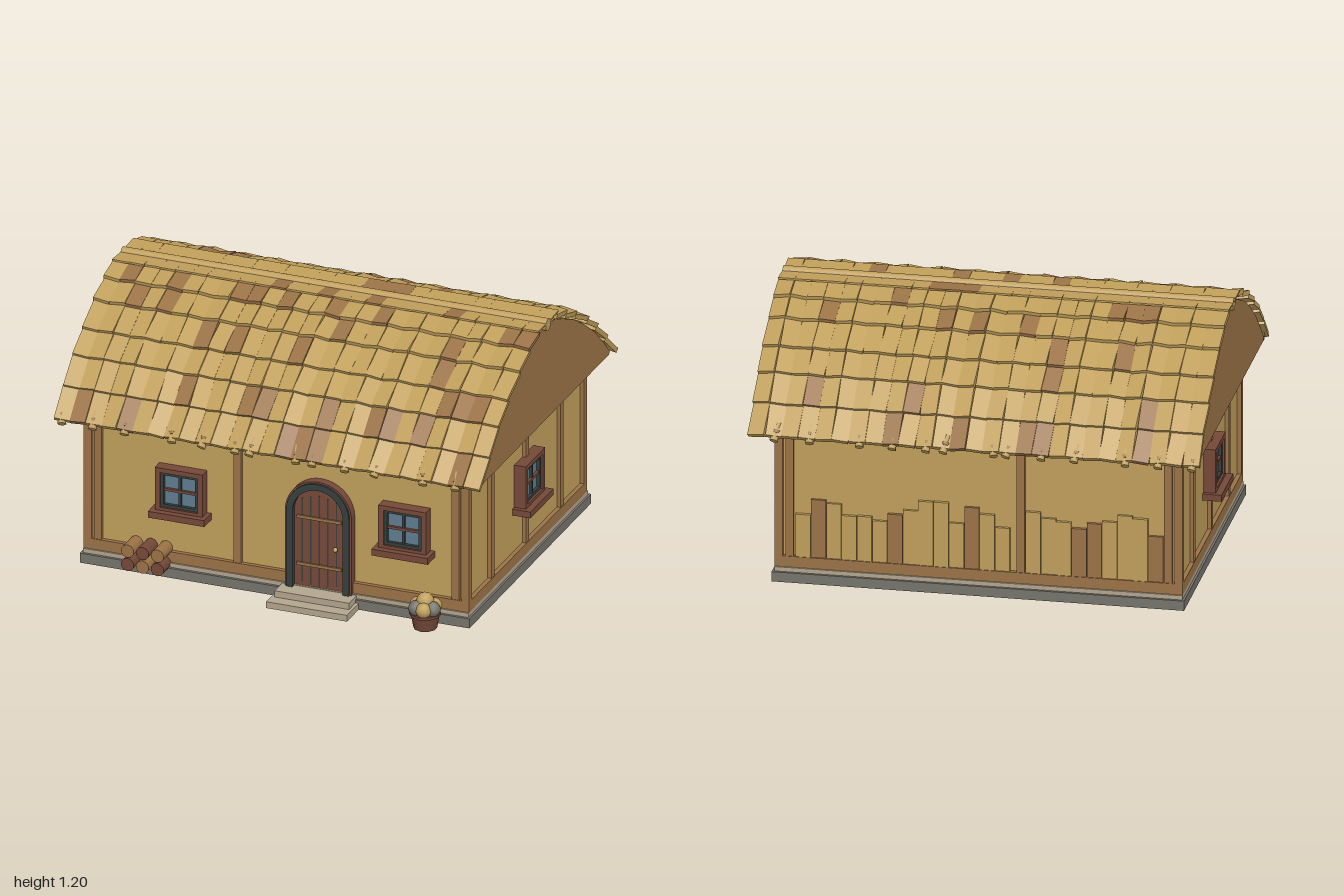
import * as THREE from 'three';
import { mergeGeometries } from 'three/addons/utils/BufferGeometryUtils.js';

const mat = (name, color) => Object.assign(new THREE.MeshStandardMaterial({ color }), { name });

export function createModel() {
  const straw = mat('straw', 0xbf9e5a), timber = mat('timber', 0x9a7246), redwood = mat('redwood', 0x744838);
  const iron = mat('darkFrame', 0x363e3e), glass = mat('glass', 0x5f7c8e), stone = mat('stone', 0x75736b);
  const step = mat('paleStone', 0xb3a58e);

  const model = new THREE.Group();
  model.name = 'cottage';
  const house = new THREE.Group();
  house.name = 'house';
  house.position.z = -0.025;
  model.add(house);

  let seed = 7;
  const rnd = () => (seed = (seed * 16807) % 2147483647) / 2147483647;
  const add = (parent, name, geo, m, x = 0, y = 0, z = 0) => {
    const mesh = new THREE.Mesh(geo, m);
    mesh.name = name;
    mesh.position.set(x, y, z);
    parent.add(mesh);
    return mesh;
  };
  const box = (parent, name, m, w, h, d, x, y, z) => add(parent, name, new THREE.BoxGeometry(w, h, d), m, x, y, z);

  // Foundation and walls
  box(house, 'foundation', stone, 1.83, 0.045, 1.41, 0, 0.0225, 0);
  box(house, 'sillPlate', step, 1.81, 0.02, 1.385, 0, 0.055, 0);
  box(house, 'walls', straw, 1.77, 0.66, 1.33, 0, 0.385, 0);

  // Timber frame
  for (const s of [-1, 1]) {
    box(house, 'bottomBeam', timber, 1.81, 0.05, 0.035, 0, 0.09, s * 0.6675);
    box(house, 'topBeam', timber, 1.81, 0.045, 0.035, 0, 0.69, s * 0.6675);
    box(house, 'sideBottomBeam', timber, 0.035, 0.05, 1.3, s * 0.8875, 0.09, 0);
    box(house, 'sideTopBeam', timber, 0.035, 0.045, 1.3, s * 0.8875, 0.69, 0);
    for (const x of [-0.84, -0.185, 0.84]) box(house, 'wallPost', timber, 0.036, 0.56, 0.03, x, 0.39, s * 0.667);
    for (const z of [-0.4, 0, 0.4]) box(house, 'sidePost', timber, 0.03, 0.56, 0.036, s * 0.887, 0.39, z);
    for (const t of [-1, 1]) box(house, 'cornerPost', timber, 0.036, 0.62, 0.036, s * 0.887, 0.385, t * 0.667);
  }

  // Roof body with curved gables
  const roofCurve = [[0, 1.175], [0.11, 1.165], [0.21, 1.125], [0.33, 1.07], [0.46, 0.99], [0.57, 0.91], [0.68, 0.81], [0.79, 0.7]];
  const under = roofCurve.slice(0, -1).map(([u, y]) => new THREE.Vector2(u, y - 0.018));
  under.push(new THREE.Vector2(0.75, 0.722), new THREE.Vector2(0.74, 0.71));
  const outline = [...under.map(p => new THREE.Vector2(-p.x, p.y)).reverse(), ...under.slice(1)];
  const roofGeo = new THREE.ExtrudeGeometry(new THREE.Shape(outline), { depth: 1.97, bevelEnabled: false });
  roofGeo.translate(0, 0, -0.985).rotateY(Math.PI / 2);
  add(house, 'roofBody', roofGeo, timber);

  // Thatch shingles, rolled a little in each column
  const columns = 27, pitch = 2 / columns;
  const light = [], brown = [];
  const place = new THREE.Object3D();
  for (const s of [-1, 1]) {
    for (let c = 0; c < columns; c++) {
      const roll = (c % 2 ? 1 : -1) * (0.04 + 0.14 * rnd());
      for (let r = 0; r < roofCurve.length - 1; r++) {
        const [u0, y0] = roofCurve[r], [u1, y1] = roofCurve[r + 1];
        const rise = 0.016, length = Math.hypot(u1 - u0, y0 - y1 - rise) + 0.02;
        const geo = new THREE.BoxGeometry(pitch, r ? 0.022 : 0.008, length);
        place.position.set(-1 + (c + 0.5) * pitch, (y0 + y1 + rise) / 2 + 0.004, s * ((u0 + u1) / 2 + 0.004 * (rnd() - 0.5)));
        place.rotation.set(s * Math.atan2(y0 - y1 - rise, u1 - u0), (rnd() - 0.5) * 0.08, r ? roll : 0);
        place.updateMatrix();
        (rnd() < 0.14 ? brown : light).push(geo.applyMatrix4(place.matrix));
      }
    }
  }
  add(house, 'strawShingles', mergeGeometries(light), straw);
  add(house, 'brownShingles', mergeGeometries(brown), timber);
  add(house, 'ridgePole', new THREE.CylinderGeometry(0.029, 0.029, 2, 14).rotateZ(Math.PI / 2), straw, 0, 1.17, 0);

  // Straw tufts tied along the eaves
  for (const s of [-1, 1]) {
    for (const x of [-0.97, -0.82, -0.67, -0.45, -0.3, -0.15, -0.08, 0.13, 0.21, 0.36, 0.51, 0.73, 0.88]) {
      const tuft = new THREE.Group();
      tuft.name = 'eaveTuft';
      tuft.position.set(x, 0.728, s * 0.775);
      tuft.rotation.set(-s * 0.75, 0, (rnd() - 0.5) * 0.5);
      add(tuft, 'bundle', new THREE.CylinderGeometry(0.011, 0.02, 0.085, 6), straw);
      add(tuft, 'tie', new THREE.CylinderGeometry(0.019, 0.019, 0.014, 6), timber);
      house.add(tuft);
    }
  }

  // Windows
  const addWindow = (x, z, turn) => {
    const w = new THREE.Group();
    w.name = 'window';
    w.position.set(x, 0.42, z);
    w.rotation.y = turn;
    for (const s of [-1, 1]) {
      box(w, 'frameSide', redwood, 0.024, 0.21, 0.055, s * 0.1, 0, 0.0275);
      box(w, 'frameRail', redwood, 0.176, 0.022, 0.055, 0, s * 0.094, 0.0275);
      box(w, 'sashSide', iron, 0.014, 0.166, 0.045, s * 0.081, 0, 0.0225);
      box(w, 'sashRail', iron, 0.148, 0.014, 0.045, 0, s * 0.076, 0.0225);
    }
    box(w, 'pane', glass, 0.15, 0.145, 0.03, 0, 0, 0.015);
    box(w, 'mullion', iron, 0.012, 0.14, 0.04, 0, 0, 0.02);
    box(w, 'crossBar', redwood, 0.148, 0.012, 0.042, 0, 0, 0.021);
    box(w, 'windowSill', redwood, 0.265, 0.03, 0.085, 0, -0.112, 0.0425);
    house.add(w);
  };
  addWindow(-0.445, 0.665, 0);
  addWindow(0.605, 0.665, 0);
  addWindow(0.885, 0, Math.PI / 2);
  addWindow(-0.885, 0, -Math.PI / 2);

  // Arched door
  const door = new THREE.Group();
  door.name = 'door';
  door.position.set(0.205, 0.06, 0.66);
  house.add(door);
  const spring = 0.362;
  const arch = (Type, r) => {
    const p = new Type();
    p.moveTo(-r, 0).lineTo(r, 0).lineTo(r, spring).absarc(0, spring, r, 0, Math.PI, false).lineTo(-r, 0);
    return p;
  };
  const addArch = (name, m, outer, inner, depth) => {
    const shape = arch(THREE.Shape, outer);
    if (inner) {
      // Open-bottomed surround
      shape.curves.length = 0;
      shape.moveTo(inner, 0).lineTo(outer, 0).lineTo(outer, spring).absarc(0, spring, outer, 0, Math.PI, false);
      shape.lineTo(-outer, 0).lineTo(-inner, 0).lineTo(-inner, spring).absarc(0, spring, inner, Math.PI, 0, true);
    }
    add(door, name, new THREE.ExtrudeGeometry(shape, { depth, bevelEnabled: false, curveSegments: 14 }), m);
  };
  addArch('doorLeaf', redwood, 0.12, 0, 0.03);
  addArch('doorSurround', iron, 0.148, 0.118, 0.055);
  addArch('doorTrim', redwood, 0.156, 0.146, 0.045);
  for (let i = -2; i <= 2; i++) box(door, 'plankGap', iron, 0.005, 0.44 - Math.abs(i) * 0.02, 0.004, i * 0.04, 0.225, 0.031);
  for (const y of [0.11, 0.335]) box(door, 'doorStrap', timber, 0.21, 0.014, 0.008, 0, y, 0.035);
  add(door, 'doorKnob', new THREE.SphereGeometry(0.011, 10, 8), straw, 0.08, 0.207, 0.045);

  // Front steps
  box(model, 'lowerStep', step, 0.38, 0.03, 0.17, 0.205, 0.015, 0.73);
  box(model, 'upperStep', step, 0.35, 0.03, 0.11, 0.205, 0.045, 0.7);

  // Stacked logs
  for (let i = 0; i < 6; i++) {
    const log = add(model, 'log', new THREE.CylinderGeometry(0.031, 0.031, 0.12, 10),
      i % 2 ? timber : redwood, -0.665 + (i % 3) * 0.07, i < 3 ? 0.06 : 0.125, 0.685);
    log.rotation.x = Math.PI / 2;
  }

  // Basket of produce
  const basket = new THREE.Group();
  basket.name = 'basket';
  basket.position.set(0.74, 0, 0.76);
  model.add(basket);
  add(basket, 'tub', new THREE.CylinderGeometry(0.065, 0.052, 0.07, 10), redwood, 0, 0.045, 0);
  add(basket, 'tubRim', new THREE.CylinderGeometry(0.07, 0.07, 0.012, 10), redwood, 0, 0.078, 0);
  for (let i = 0; i < 6; i++) {
    const a = i * Math.PI / 3 + 0.3;
    add(basket, 'produce', new THREE.IcosahedronGeometry(0.036, 1), i % 2 ? straw : stone, 0.042 * Math.cos(a), 0.108, 0.042 * Math.sin(a));
  }
  add(basket, 'topProduce', new THREE.IcosahedronGeometry(0.04, 1), straw, 0, 0.137, 0);

  // Uneven planks leaning on the back wall
  for (let i = 0; i < 24; i++) {
    const x = 0.78 - i * 0.068;
    if (Math.abs(x + 0.185) < 0.05) continue;
    const h = 0.19 + 0.12 * rnd();
    box(house, 'backPlank', rnd() < 0.45 ? timber : straw, 0.066, h, 0.014 + 0.012 * rnd(), x, 0.115 + h / 2, -0.67);
  }
  return model;
}
